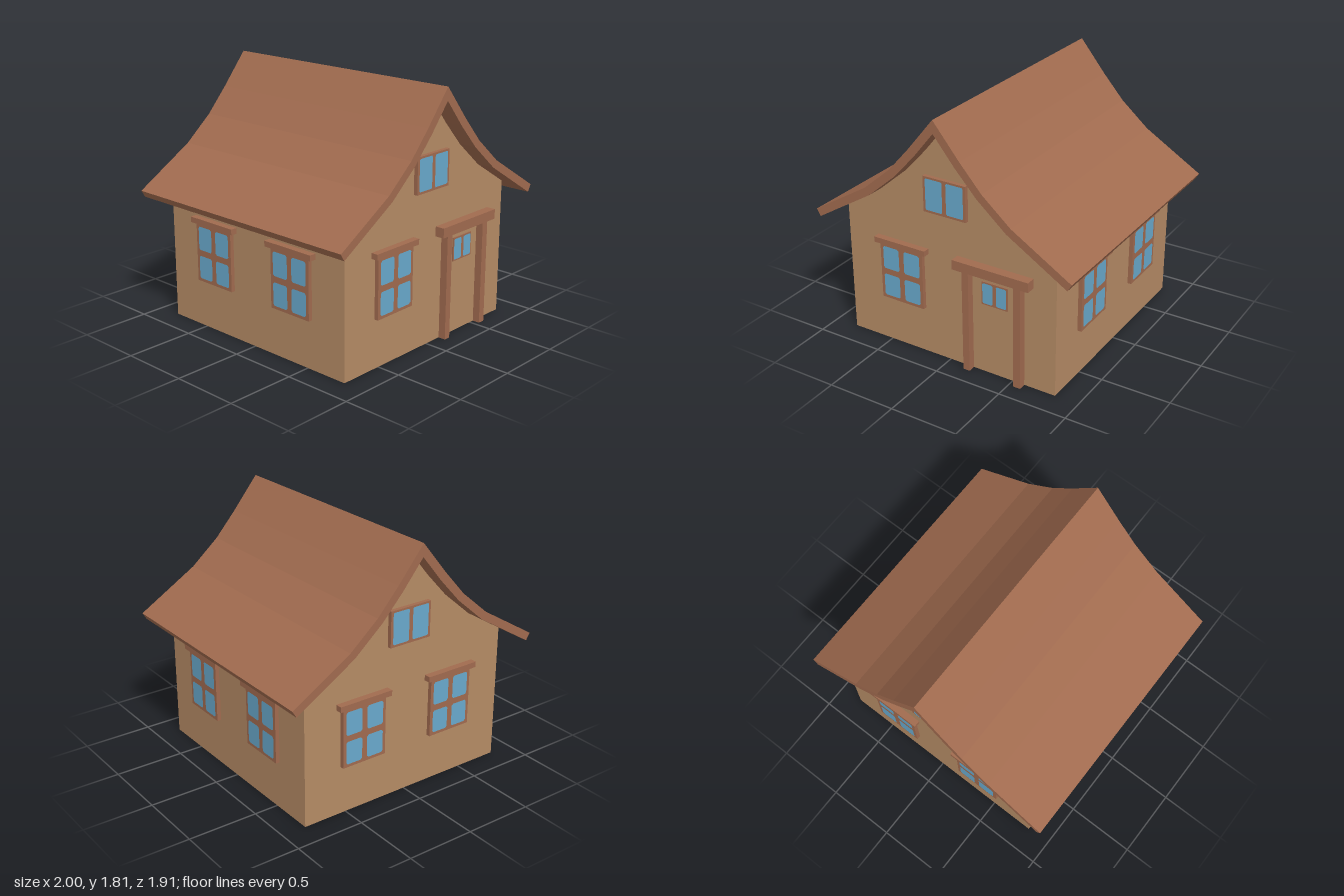
import * as THREE from 'three';

const HALF = 0.825; // half the width and depth of the walls

// roof cross-section, ridge to eave
const OUTER = [[0, 1.813], [0.195, 1.575], [0.355, 1.395], [0.565, 1.215], [1, 0.95]];
const INNER = [[0, 1.72], [0.155, 1.53], [0.315, 1.355], [0.53, 1.17], [0.97, 0.9]];
const mirror = (pts) => pts.map(([x, y]) => [-x, y]);
const toShape = (pts) => new THREE.Shape(pts.map(([x, y]) => new THREE.Vector2(x, y)));

export function createModel() {
  const wallMat = new THREE.MeshStandardMaterial({ color: 0xb58b65, side: THREE.DoubleSide });
  wallMat.name = 'plaster';
  const woodMat = new THREE.MeshStandardMaterial({ color: 0xa16b4f });
  woodMat.name = 'brown wood';
  const glassMat = new THREE.MeshStandardMaterial({ color: 0x69a9cc });
  glassMat.name = 'blue glass';

  const house = new THREE.Group();
  house.name = 'house';

  function add(parent, name, geometry, material) {
    const mesh = new THREE.Mesh(geometry, material);
    mesh.name = name;
    parent.add(mesh);
    return mesh;
  }

  // wooden block standing out from a wall by depth
  function block(parent, name, x0, x1, y0, y1, depth) {
    const gap = 0.001;
    const mesh = add(parent, name, new THREE.BoxGeometry(x1 - x0, y1 - y0, depth - gap), woodMat);
    mesh.position.set((x0 + x1) / 2, (y0 + y1) / 2, (depth + gap) / 2);
  }

  // thin pane with cut corners
  function pane(parent, x0, x1, y0, y1, z, c) {
    const shape = toShape([
      [x0 + c, y0], [x1 - c, y0], [x1, y0 + c], [x1, y1 - c],
      [x1 - c, y1], [x0 + c, y1], [x0, y1 - c], [x0, y0 + c],
    ]);
    add(parent, 'pane', new THREE.ShapeGeometry(shape), glassMat).position.z = z + 0.002;
  }

  // four-pane window with a lintel
  function mainWindow(wall, x) {
    const g = new THREE.Group();
    g.name = 'window';
    g.position.x = x;
    wall.add(g);
    block(g, 'windowFrame', -0.173, 0.173, 0.35, 0.775, 0.03);
    block(g, 'windowLintel', -0.208, 0.208, 0.775, 0.815, 0.05);
    for (const [x0, x1] of [[-0.15, -0.02], [0.02, 0.15]]) {
      for (const [y0, y1] of [[0.372, 0.538], [0.582, 0.752]]) pane(g, x0, x1, y0, y1, 0.03, 0.012);
    }
  }

  // two-pane window in the gable
  function gableWindow(wall) {
    const g = new THREE.Group();
    g.name = 'gableWindow';
    wall.add(g);
    block(g, 'gableFrame', -0.165, 0.165, 1.105, 1.36, 0.03);
    for (const [x0, x1] of [[-0.147, -0.015], [0.015, 0.147]]) pane(g, x0, x1, 1.122, 1.347, 0.03, 0.008);
  }

  // door posts, lintel and small door window
  function entrance(wall) {
    const g = new THREE.Group();
    g.name = 'entrance';
    wall.add(g);
    block(g, 'doorPost', 0.14, 0.19, 0, 0.76, 0.055);
    block(g, 'doorPost', 0.537, 0.59, 0, 0.76, 0.055);
    block(g, 'doorLintel', 0.075, 0.655, 0.76, 0.83, 0.07);
    block(g, 'doorWindowFrame', 0.265, 0.465, 0.53, 0.7, 0.01);
    for (const [x0, x1] of [[0.273, 0.352], [0.378, 0.457]]) pane(g, x0, x1, 0.54, 0.69, 0.01, 0.008);
  }

  // walls: gables follow the underside of the roof, the base is open
  const eaveY = 0.989;
  const slope = INNER.slice(0, 4);
  const gable = toShape([
    [-HALF, 0], [HALF, 0], [HALF, eaveY],
    ...slope.slice().reverse(), ...mirror(slope).slice(1), [-HALF, eaveY],
  ]);
  const sides = ['frontWall', 'leftWall', 'backWall', 'rightWall'];
  sides.forEach((name, i) => {
    const wall = new THREE.Group();
    wall.name = name;
    wall.rotation.y = (i * Math.PI) / 2;
    wall.position.set(Math.sin(wall.rotation.y) * HALF, 0, Math.cos(wall.rotation.y) * HALF);
    house.add(wall);
    if (i % 2 === 0) {
      add(wall, 'gableWall', new THREE.ShapeGeometry(gable), wallMat);
      gableWindow(wall);
    } else {
      add(wall, 'sideWall', new THREE.PlaneGeometry(HALF * 2, eaveY), wallMat).position.y = eaveY / 2;
    }
    mainWindow(wall, -0.368);
    if (name === 'frontWall') entrance(wall);
    else mainWindow(wall, 0.368);
  });

  // flared roof slab
  const roofShape = toShape([
    ...mirror(OUTER).reverse(), ...OUTER.slice(1),
    ...INNER.slice().reverse(), ...mirror(INNER).slice(1),
  ]);
  const roof = new THREE.ExtrudeGeometry(roofShape, { depth: 1.91, bevelEnabled: false });
  roof.translate(0, 0, -0.955);
  add(house, 'roof', roof, woodMat);

  return house;
}
